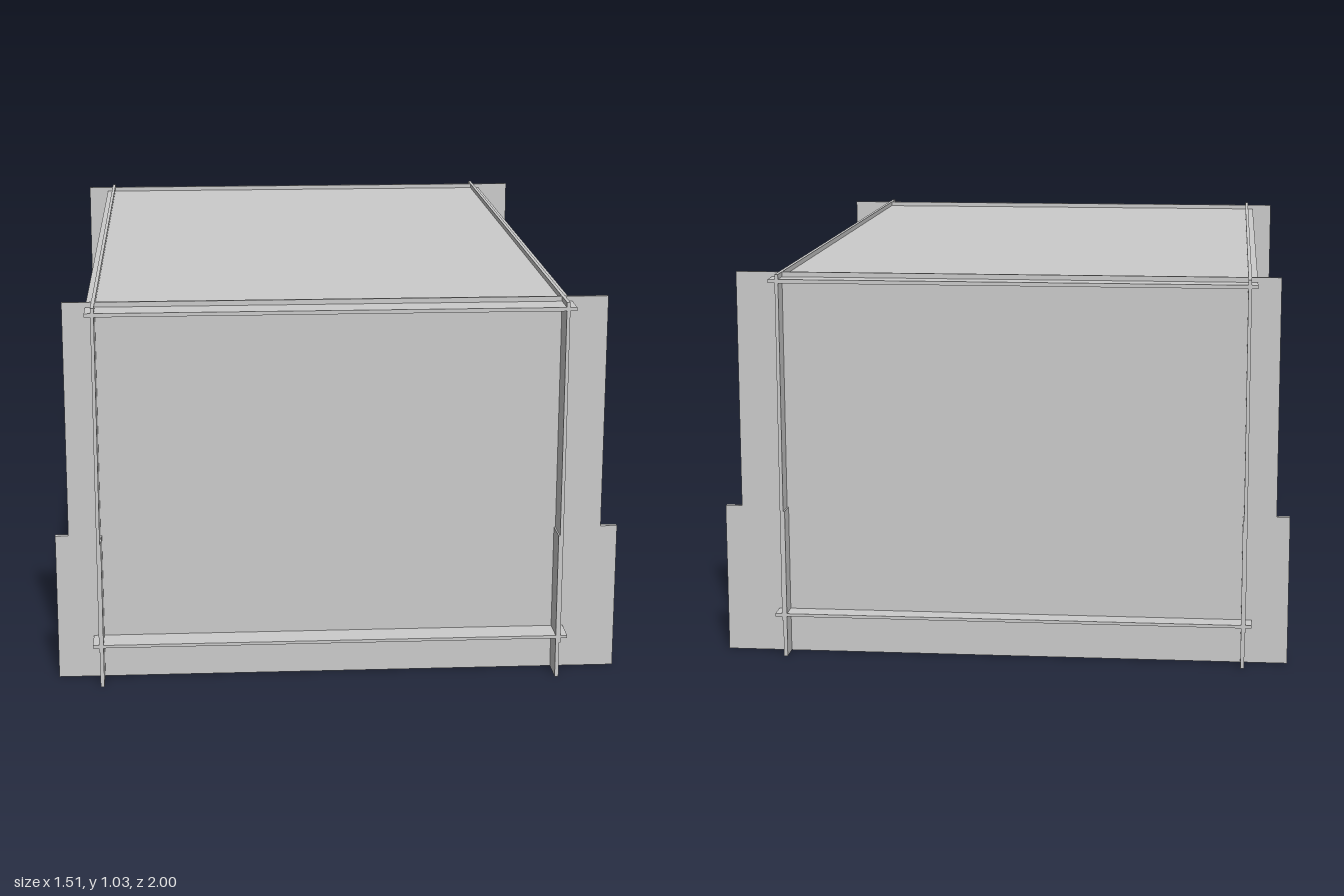
import * as THREE from 'three';

// Crate of thin interlocking sheets that run past each other at the corners
export function createModel() {
  const group = new THREE.Group();
  const material = new THREE.MeshStandardMaterial({ color: 0xcccccc, flatShading: true });

  // Sheet given by its extents along each axis
  const sheet = (name, [x0, x1], [y0, y1], [z0, z1]) => {
    const mesh = new THREE.Mesh(new THREE.BoxGeometry(x1 - x0, y1 - y0, z1 - z0), material);
    mesh.name = name;
    mesh.position.set((x0 + x1) / 2, (y0 + y1) / 2, (z0 + z1) / 2);
    group.add(mesh);
  };

  const upper = [0.098, 1.035];
  const lower = [0, 0.4];
  const length = [-1, 1];
  const deckWidth = [-0.659, 0.614];

  // Floor and lid
  sheet('floor', deckWidth, [0.11, 0.118], length);
  sheet('lid', deckWidth, [1.012, 1.022], length);

  // Long side walls: tall outer sheet with a low sheet inside it
  sheet('rightWall', [-0.643, -0.634], upper, length);
  sheet('rightLowerWall', [-0.641, -0.631], lower, length);
  sheet('leftWall', [0.587, 0.596], upper, length);
  sheet('leftLowerWall', [0.583, 0.593], lower, length);

  // End walls: the low sheets are wider and form stepped wings
  const wide = [-0.755, 0.755];
  const narrow = [-0.72, 0.71];
  sheet('frontWall', narrow, upper, [0.915, 0.923]);
  sheet('frontLowerWall', wide, lower, [0.907, 0.921]);
  sheet('backWall', narrow, upper, [-0.947, -0.939]);
  sheet('backLowerWall', wide, lower, [-0.945, -0.931]);

  return group;
}
